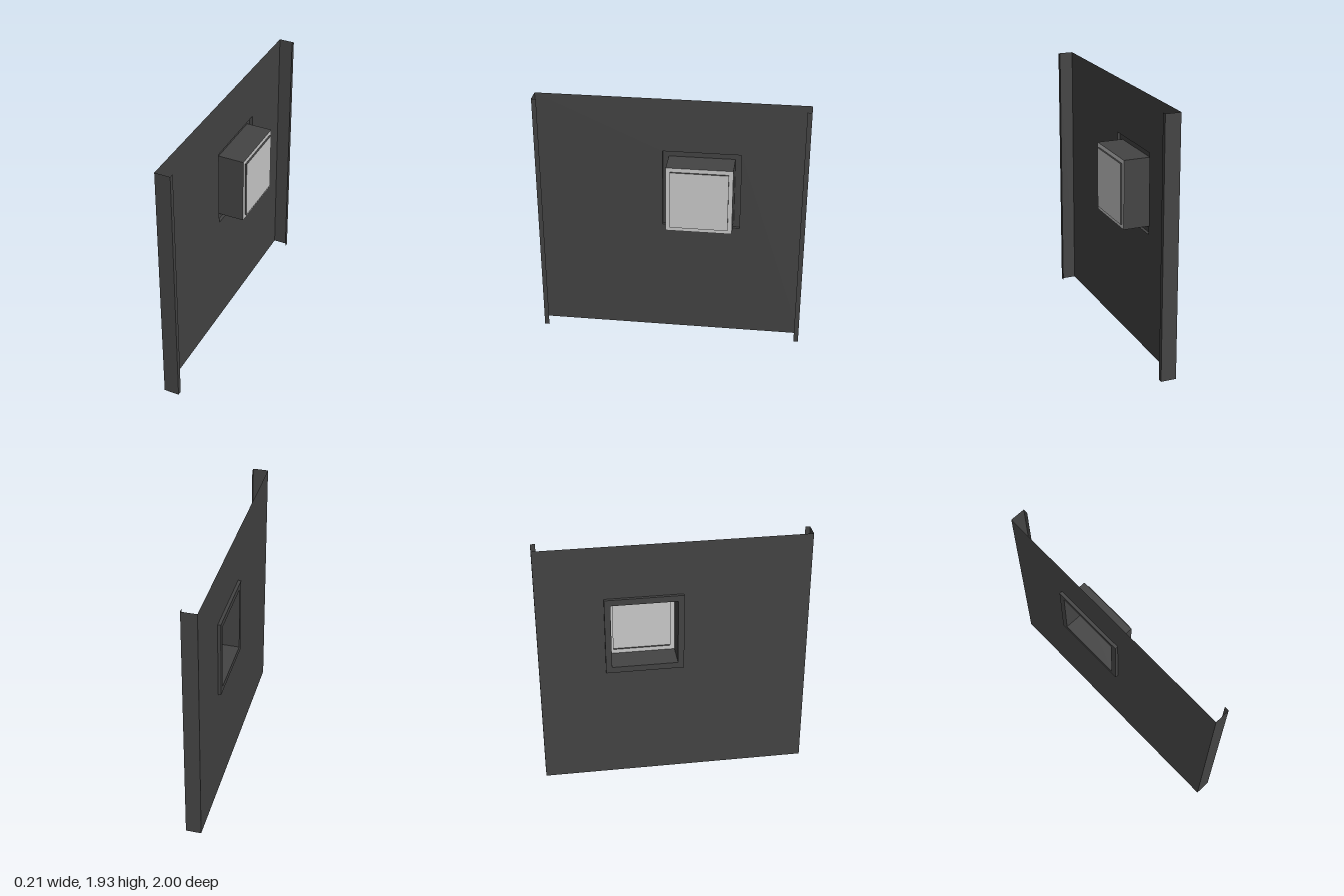
import * as THREE from 'three';

const H = 1.935;            // panel height
const XP = -0.083;          // plane of the main sheet
const XF = 0.032;           // plane of the folded lips
const LIP = 0.035;
const CY = 1.216, CZ = -0.22; // centre of the window

const dark = new THREE.MeshStandardMaterial({ color: 0x444444, side: THREE.DoubleSide });
const pale = new THREE.MeshStandardMaterial({ color: 0xcccccc, side: THREE.DoubleSide });

// Rectangular sections around the window: [x, half width in z, half height]
const rim = [XP, 0.29, 0.305];
const frameOuter = [-0.106, 0.29, 0.305];
const frameInner = [-0.106, 0.245, 0.258];
const boxEnd = [0.092, 0.245, 0.258];
const stepBase = [0.092, 0.214, 0.226];
const stepTop = [0.105, 0.214, 0.226];

function corners([x, w, h]) {
  return [[1, -1], [-1, -1], [-1, 1], [1, 1]].map(([a, b]) => [x, CY + b * h, CZ + a * w]);
}

// Four flat walls joining two rectangular sections
function band(name, from, to, material) {
  const a = corners(from), b = corners(to), pos = [];
  for (let i = 0; i < 4; i++) {
    const j = (i + 1) % 4;
    pos.push(...a[i], ...a[j], ...b[j], ...a[i], ...b[j], ...b[i]);
  }
  const geo = new THREE.BufferGeometry();
  geo.setAttribute('position', new THREE.Float32BufferAttribute(pos, 3));
  geo.computeVertexNormals();
  const mesh = new THREE.Mesh(geo, material);
  mesh.name = name;
  return mesh;
}

export function createModel() {
  const group = new THREE.Group();
  group.name = 'wallPanelWithWindow';

  // Main sheet with the window cut-out (shape x runs along -z)
  const sheet = new THREE.Shape();
  sheet.moveTo(-1, 0).lineTo(1, 0).lineTo(1, H).lineTo(-1, H).closePath();
  const hole = new THREE.Path();
  const [, w, h] = rim;
  hole.moveTo(-CZ - w, CY - h).lineTo(-CZ - w, CY + h).lineTo(-CZ + w, CY + h).lineTo(-CZ + w, CY - h).closePath();
  sheet.holes.push(hole);
  const panel = new THREE.Mesh(new THREE.ShapeGeometry(sheet).rotateY(Math.PI / 2), dark);
  panel.name = 'panelSheet';
  panel.position.x = XP;
  group.add(panel);

  // Folded flange and inward lip on both vertical edges
  for (const s of [1, -1]) {
    const side = s > 0 ? 'front' : 'back';
    const flangeGeo = new THREE.PlaneGeometry(XF - XP, H);
    if (s < 0) flangeGeo.rotateY(Math.PI);
    const flange = new THREE.Mesh(flangeGeo, dark);
    flange.name = side + 'Flange';
    flange.position.set((XP + XF) / 2, H / 2, s);
    const lip = new THREE.Mesh(new THREE.PlaneGeometry(LIP, H).rotateY(Math.PI / 2), dark);
    lip.name = side + 'Lip';
    lip.position.set(XF, H / 2, s * (1 - LIP / 2));
    group.add(flange, lip);
  }

  // Window surround, box walls and raised pane
  const win = new THREE.Group();
  win.name = 'window';
  win.add(
    band('frameRim', rim, frameOuter, dark),
    band('frameFace', frameOuter, frameInner, dark),
    band('boxWalls', frameInner, boxEnd, dark),
    band('paneBorder', boxEnd, stepBase, pale),
    band('paneStep', stepBase, stepTop, dark)
  );
  const [px, pw, ph] = stepTop;
  const pane = new THREE.Mesh(new THREE.PlaneGeometry(pw * 2, ph * 2).rotateY(Math.PI / 2), pale);
  pane.name = 'pane';
  pane.position.set(px, CY, CZ);
  win.add(pane);
  group.add(win);

  return group;
}
